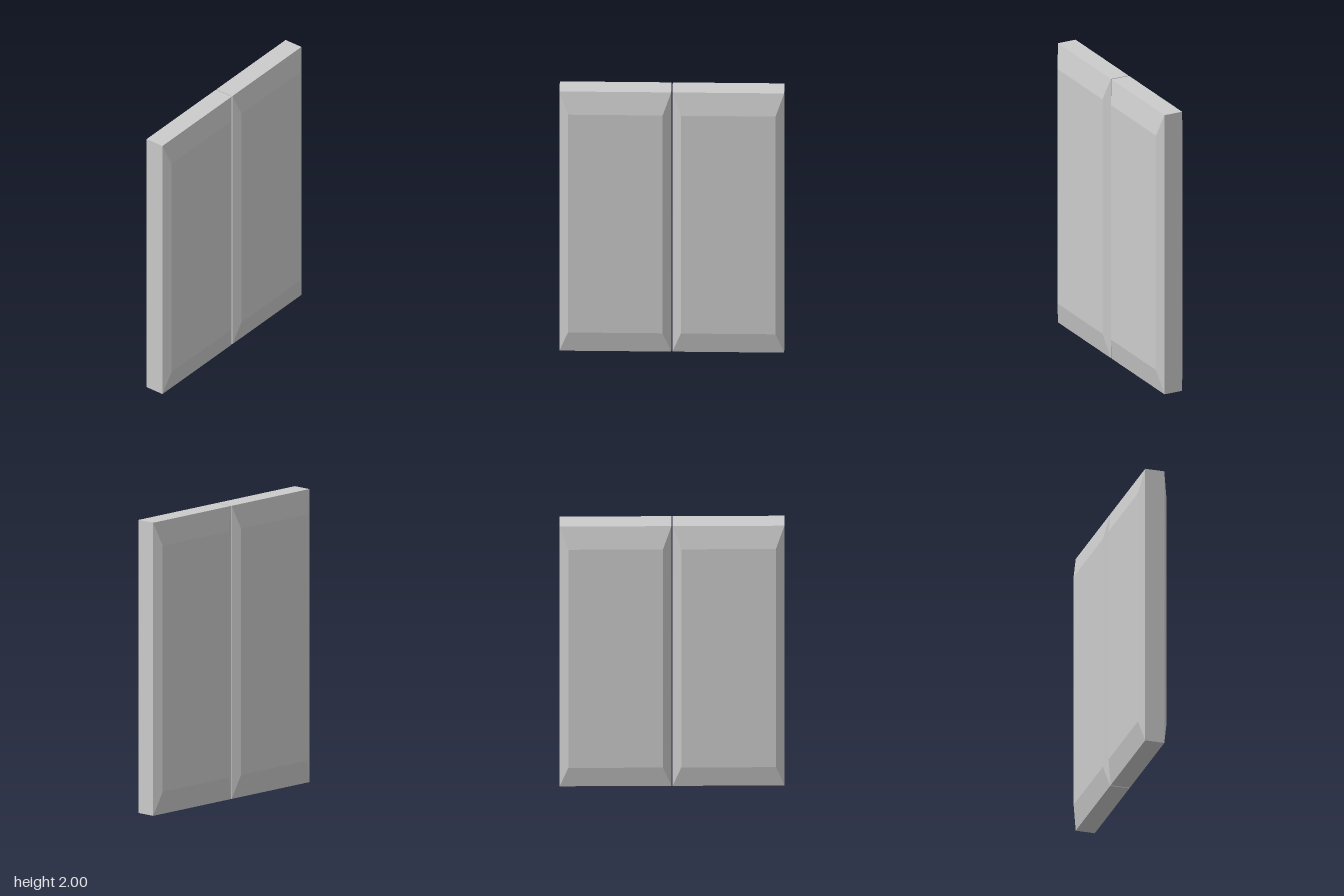
import * as THREE from 'three';

// Door leaf: a slab whose front and back taper to a smaller raised field
function leafGeometry() {
  const box = new THREE.BoxGeometry(2, 2, 3, 1, 1, 3);
  const p = box.attributes.position;
  for (let i = 0; i < p.count; i++) {
    const z = p.getZ(i);
    const outer = Math.abs(z) > 1; // raised field, otherwise the slab's rim
    p.setXYZ(
      i,
      p.getX(i) * (outer ? 0.316 : 0.373),
      p.getY(i) * (outer ? 0.84 : 1),
      Math.sign(z) * (outer ? 0.1 : 0.067)
    );
  }
  const geometry = box.toNonIndexed();
  geometry.computeVertexNormals();
  return geometry;
}

export function createModel() {
  const group = new THREE.Group();
  group.name = 'doubleDoor';
  const material = new THREE.MeshStandardMaterial({ color: 0xcccccc, flatShading: true });
  const geometry = leafGeometry();

  // Two matching leaves with a hairline gap between them
  for (const [name, side] of [['leftLeaf', 1], ['rightLeaf', -1]]) {
    const leaf = new THREE.Mesh(geometry, material);
    leaf.name = name;
    leaf.position.set(side * 0.377, 1, 0);
    group.add(leaf);
  }
  return group;
}
